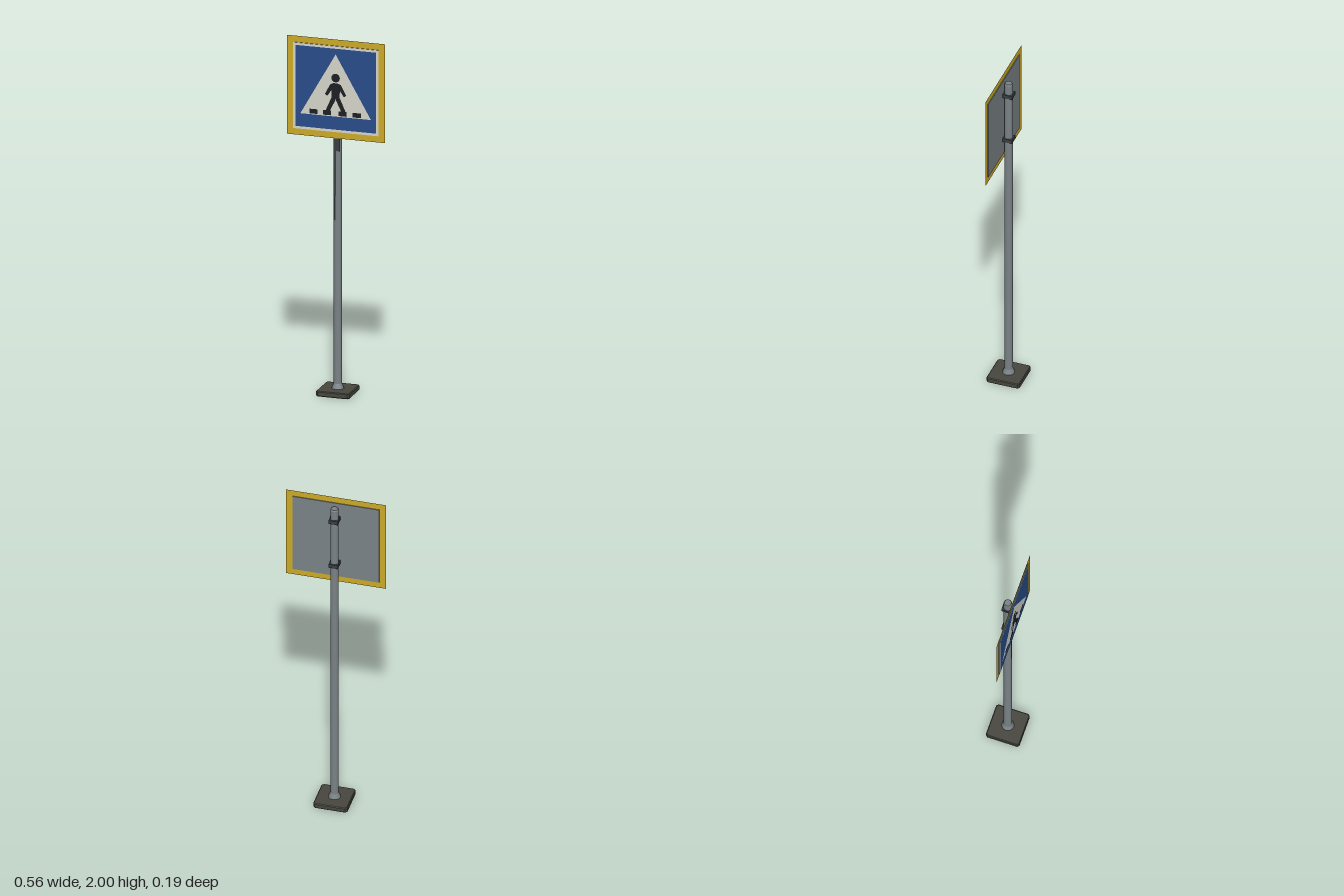
import * as THREE from 'three';

const mat = (name, color, side = THREE.FrontSide) => {
  const m = new THREE.MeshStandardMaterial({ color, side });
  m.name = name;
  return m;
};

export function createModel() {
  const model = new THREE.Group();
  model.name = 'crossingSign';
  const steel = mat('galvanised steel', 0x7b8387);
  const dark = mat('dark clamp metal', 0x3a3f42);
  const rubber = mat('base grey', 0x47473f);
  const yellow = mat('yellow', 0xcdab28, THREE.DoubleSide);
  const white = mat('white', 0xd6d6cc);
  const blue = mat('blue', 0x284c8a);
  const black = mat('black', 0x1c1f22);

  const add = (name, geo, material, x = 0, y = 0, z = 0, parent = model) => {
    const mesh = new THREE.Mesh(geo, material);
    mesh.name = name;
    mesh.position.set(x, y, z);
    parent.add(mesh);
    return mesh;
  };
  const polygon = pts => new THREE.Shape(pts.map(p => new THREE.Vector2(...p)));
  const square = h => [[-h, -h], [h, -h], [h, h], [-h, h]];

  // Base plate with clipped corners and a small bevel
  const b = 0.091, c = 0.083;
  const plate = new THREE.ExtrudeGeometry(
    polygon([[-c, -b], [c, -b], [b, -c], [b, c], [c, b], [-c, b], [-b, c], [-b, -c]]),
    { depth: 0.022, bevelEnabled: true, bevelThickness: 0.004, bevelSize: 0.004, bevelSegments: 1 });
  plate.rotateX(-Math.PI / 2);
  add('basePlate', plate, rubber, 0, 0.004);

  // Pole: flared foot, shaft and bevelled top
  const tube = (name, rTop, rBottom, y0, y1, open) =>
    add(name, new THREE.CylinderGeometry(rTop, rBottom, y1 - y0, 12, 1, open), steel, 0, (y0 + y1) / 2);
  tube('poleFoot', 0.023, 0.034, 0.03, 0.058, true);
  tube('poleShaft', 0.023, 0.023, 0.03, 1.94, true);
  tube('poleTop', 0.019, 0.023, 1.94, 1.948, false);

  // Dark streaks running down the pole front
  for (const [x, w, bottom] of [[0.007, 0.022, 1.37], [-0.009, 0.013, 1.12], [-0.009, 0.005, 0.98]]) {
    const h = 1.45 - bottom;
    add('poleStreak', new THREE.PlaneGeometry(w, h), dark, x, bottom + h / 2, 0.0234);
  }

  // Clamps holding the board
  for (const y of [1.58, 1.872])
    add('clamp', new THREE.BoxGeometry(0.052, 0.022, 0.055), dark, 0, y, -0.001);

  // Sign board: steel backing, yellow surround and printed face
  const sign = new THREE.Group();
  sign.name = 'sign';
  sign.position.set(0, 1.7225, 0.0305);
  model.add(sign);
  add('board', new THREE.BoxGeometry(0.484, 0.484, 0.009), steel, 0, 0, 0, sign);
  const ring = polygon(square(0.2785));
  ring.holes.push(new THREE.Path(square(0.241).reverse().map(p => new THREE.Vector2(...p))));
  add('yellowSurround', new THREE.ShapeGeometry(ring), yellow, 0, 0, 0, sign);

  const decal = (name, shape, material, layer) =>
    add(name, new THREE.ShapeGeometry(shape, 12), material, 0, 0, 0.0045 + layer * 0.0006, sign);
  decal('whiteBorder', polygon(square(0.242)), white, 1);
  decal('bluePanel', polygon(square(0.228)), blue, 2);
  decal('whiteTriangle', polygon([[-0.2, -0.154], [0.2, -0.154], [0, 0.196]]), white, 3);

  // Walking figure
  const head = new THREE.Shape();
  head.absarc(0, 0.063, 0.024, 0, Math.PI * 2);
  decal('head', head, black, 4);
  decal('torso', polygon([[-0.022, -0.055], [0.022, -0.055], [0.025, 0.015], [0.012, 0.034],
    [-0.012, 0.034], [-0.025, 0.015]]), black, 4);
  for (const s of [-1, 1]) {
    const limb = pts => polygon(s > 0 ? pts : pts.map(([x, y]) => [-x, y]).reverse());
    decal('arm', limb([[0.012, 0.034], [0.016, 0.005], [0.047, -0.041], [0.06, -0.03], [0.03, 0.026]]), black, 4);
    decal('leg', limb([[0, -0.04], [0.002, -0.062], [0.033, -0.126], [0.058, -0.126], [0.022, -0.045]]), black, 4);
  }

  // Crossing stripes under the feet
  for (const [x0, x1] of [[-0.148, -0.102], [-0.07, -0.025], [0.017, 0.063], [0.096, 0.143]])
    decal('crossingStripe', polygon([[x0, -0.149], [x1, -0.149], [x1, -0.123], [x0, -0.123]]), black, 4);

  return model;
}
